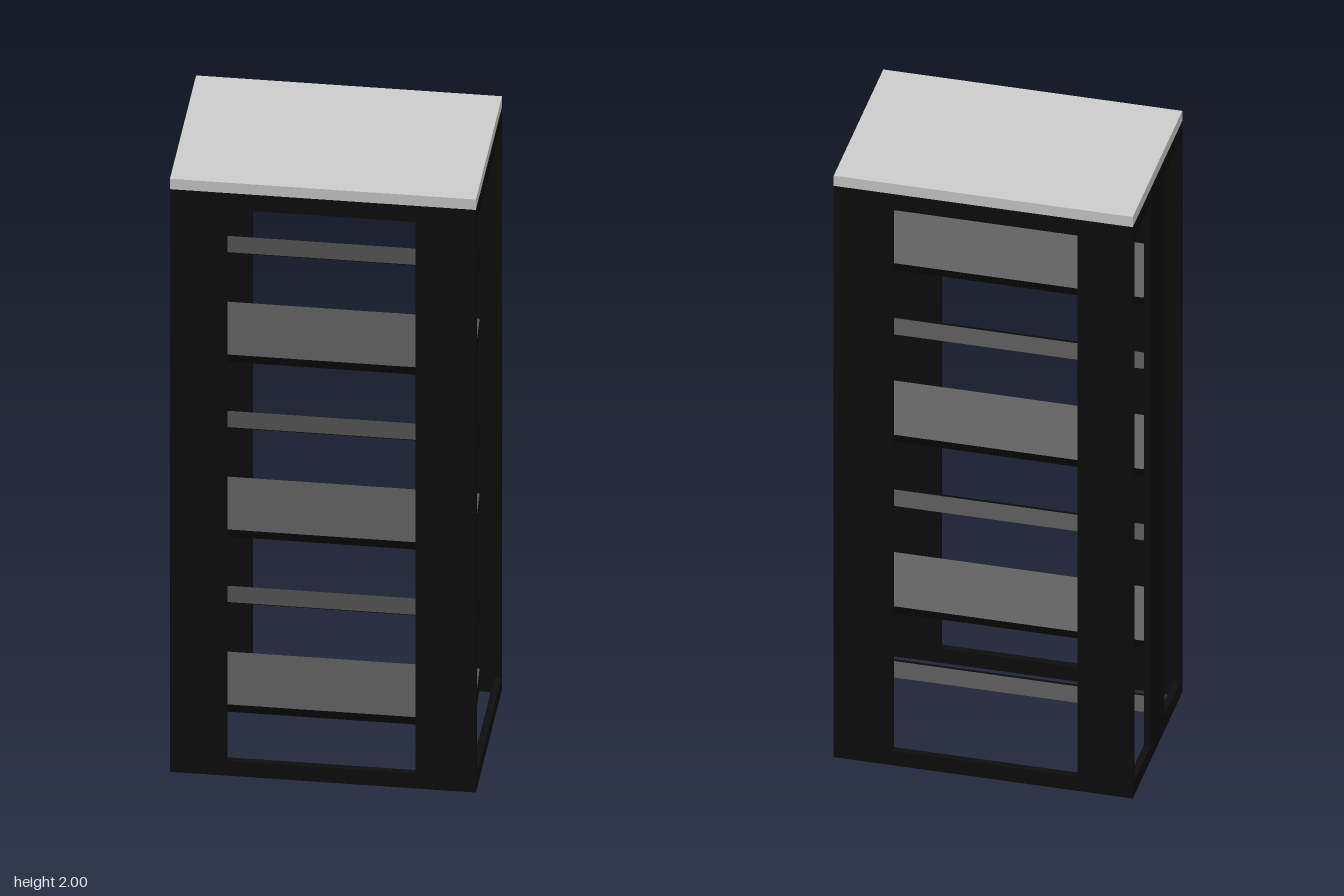
import * as THREE from 'three';

const W = 0.445, D = 0.29;       // half width and half depth
const T = 0.02;                  // panel thickness
const RAIL_TOP = 1.965, OPEN_TOP = 1.91, OPEN_BOTTOM = 0.05;

export function createModel() {
  const group = new THREE.Group();
  const black = new THREE.MeshStandardMaterial({ color: 0x0d0d0d });
  const grey = new THREE.MeshStandardMaterial({ color: 0xcccccc });

  // Box given by its minimum and maximum corners
  const block = (name, material, [x0, y0, z0], [x1, y1, z1]) => {
    const mesh = new THREE.Mesh(new THREE.BoxGeometry(x1 - x0, y1 - y0, z1 - z0), material);
    mesh.position.set((x0 + x1) / 2, (y0 + y1) / 2, (z0 + z1) / 2);
    mesh.name = name;
    group.add(mesh);
    return mesh;
  };

  // Top slab
  block('topSlab', grey, [-W, RAIL_TOP, -D], [W, 2, D]);

  // Front and back frames: one flat panel each with a tall opening
  const outline = new THREE.Shape([
    new THREE.Vector2(-W, 0), new THREE.Vector2(W, 0),
    new THREE.Vector2(W, RAIL_TOP), new THREE.Vector2(-W, RAIL_TOP),
  ]);
  outline.holes.push(new THREE.Path([
    new THREE.Vector2(-0.28, OPEN_BOTTOM), new THREE.Vector2(-0.28, OPEN_TOP),
    new THREE.Vector2(0.27, OPEN_TOP), new THREE.Vector2(0.27, OPEN_BOTTOM),
  ]));
  const frameGeometry = new THREE.ExtrudeGeometry(outline, { depth: T, bevelEnabled: false });
  for (const [name, z] of [['frontFrame', D - T], ['backFrame', -D]]) {
    const frame = new THREE.Mesh(frameGeometry, black);
    frame.name = name;
    frame.position.z = z;
    group.add(frame);
  }

  // Side rails, top and bottom
  for (const [side, x] of [['left', W - T], ['right', -W]]) {
    block(side + 'BottomRail', black, [x, 0, -D + T], [x + T, OPEN_BOTTOM, D - T]);
    block(side + 'TopRail', black, [x, OPEN_TOP, -D + T], [x + T, RAIL_TOP, D - T]);
  }

  // Upright on one side only, carrying the slats
  block('slatUpright', black, [-W, OPEN_BOTTOM, -0.08], [-W + T, OPEN_TOP, 0.08]);

  // Six slats tilted alternately to the front and the back
  const tilt = THREE.MathUtils.degToRad(32);
  for (let i = 0; i < 6; i++) {
    const y = 0.14 + i * 0.295;
    const slat = block('slat' + (i + 1), black,
      [-W + T, y - 0.0235, -0.085], [0.41, y + 0.0235, 0.085]);
    slat.rotation.x = i % 2 === 0 ? tilt : -tilt;
  }

  return group;
}
